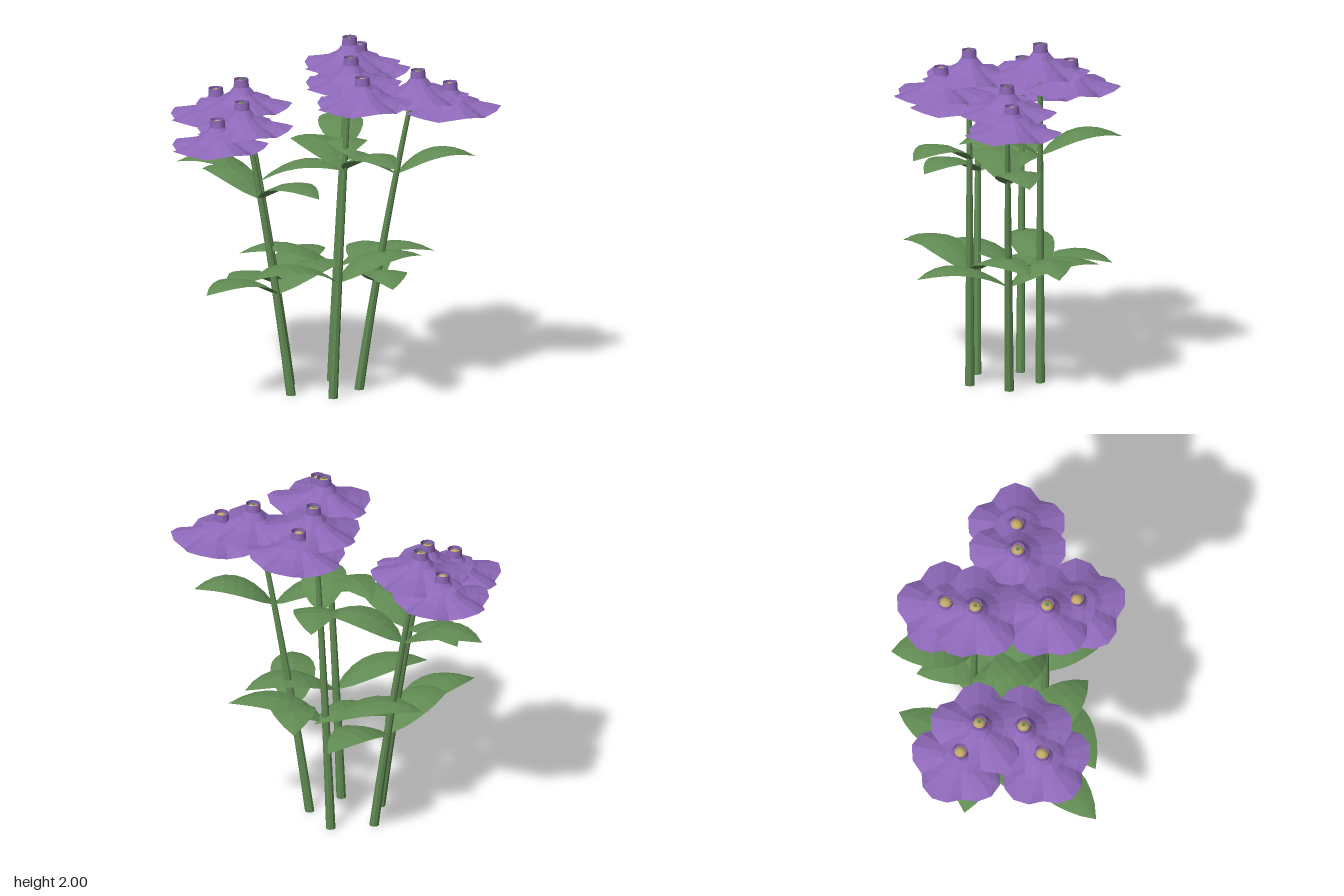
import * as THREE from 'three';

const mat = (name, color, side = THREE.FrontSide) => {
  const m = new THREE.MeshStandardMaterial({ color, side, flatShading: true });
  m.name = name;
  return m;
};

// Surface made from rows of [x, y, z] points
function surface(rows) {
  const n = rows[0].length, index = [];
  for (let i = 0; i < rows.length - 1; i++) {
    for (let j = 0; j < n - 1; j++) {
      const a = i * n + j, b = a + n;
      index.push(a, a + 1, b, a + 1, b + 1, b);
    }
  }
  const g = new THREE.BufferGeometry();
  g.setAttribute('position', new THREE.Float32BufferAttribute(rows.flat(2), 3));
  g.setIndex(index);
  g.computeVertexNormals();
  return g;
}

// Five-petalled trumpet, its rim at y = 0 and the petals flaring down and out
function blossomGeometry() {
  const profile = [[0.04, 0], [0.043, -0.045], [0.075, -0.085], [0.14, -0.122], [0.21, -0.142]];
  const edgeR = [0.285, 0.269, 0.232, 0.269], edgeY = [-0.148, -0.16, -0.182, -0.16];
  const rows = profile.map(() => []);
  rows.push([]);
  for (let j = 0; j <= 20; j++) {
    const a = -j * Math.PI / 10, k = j % 4;
    const put = (i, r, y) => rows[i].push([r * Math.cos(a), y, r * Math.sin(a)]);
    profile.forEach(([r, y], i) => {
      const f = (i / 5) ** 2;
      put(i, r * (1 + f * (edgeR[k] / 0.27 - 1)), y + f * (edgeY[k] + 0.16));
    });
    put(5, edgeR[k], edgeY[k]);
  }
  return surface(rows);
}

// Arched leaf growing along +x, one unit long, with a raised midrib
function leafGeometry() {
  const rows = [];
  for (let i = 0; i <= 8; i++) {
    const t = i / 8;
    const w = 0.25 * Math.sin(Math.PI * t ** 0.9) ** 0.8 + 0.01 * (1 - t);
    const y = 0.86 * t - 0.7 * t * t;
    rows.push([-1, -0.5, 0, 0.5, 1].map(s => [t, y - 0.16 * w * Math.abs(s) ** 1.5, s * w]));
  }
  return surface(rows);
}

export function createModel() {
  const model = new THREE.Group();
  model.name = 'flowerCluster';
  const petal = mat('petalPurple', 0x8d68b8, THREE.DoubleSide);
  const green = mat('leafGreen', 0x618b53, THREE.DoubleSide);
  const gold = mat('stamenGold', 0xc2a66a);
  const blossom = blossomGeometry(), leaf = leafGeometry();
  const stamen = new THREE.SphereGeometry(0.036, 10, 8);

  const add = (parent, name, geometry, material, x = 0, y = 0, z = 0) => {
    const m = new THREE.Mesh(geometry, material);
    m.name = name;
    m.position.set(x, y, z);
    parent.add(m);
    return m;
  };

  // Base [x, z], main and side blossom tops, leaf nodes [y, direction x, direction z, length]
  const plants = [
    { base: [-0.265, -0.125], top: [-0.54, 1.76, -0.18], side: [-0.68, 1.68, -0.29],
      nodes: [[0.58, 0.49, -0.87, 0.55], [1.17, 0.97, 0.24, 0.48]] },
    { base: [-0.265, 0.125], top: [-0.54, 1.69, 0.07], side: [-0.68, 1.615, 0.17],
      nodes: [[0.58, -0.74, 0.67, 0.54], [1.13, 0.67, 0.74, 0.48]] },
    { base: [-0.03, -0.2], top: [0.07, 2.0, -0.185], side: [0.13, 1.92, -0.35],
      nodes: [[0.66, 1, -0.04, 0.55], [1.34, -0.04, -1, 0.47]] },
    { base: [-0.03, 0.2], top: [0.07, 1.985, 0.22], side: [0.13, 1.91, 0.39],
      nodes: [[0.67, -0.87, 0.49, 0.55], [1.33, 0.62, 0.78, 0.47]] },
    { base: [0.12, 0], top: [0.45, 1.87, 0.065], side: [0.63, 1.8, 0.065],
      nodes: [[0.63, 0.15, 0.97, 0.54], [1.26, 0.98, -0.12, 0.45]] },
  ];

  plants.forEach(({ base, top, side, nodes }) => {
    const plant = new THREE.Group();
    plant.name = 'plant';
    model.add(plant);
    const height = top[1];
    const stemAt = y => {
      const t = y / height, f = t + 0.2 * t * (t - 1);
      return [base[0] + (top[0] - base[0]) * f, base[1] + (top[2] - base[1]) * f];
    };

    // Tapered stem, leaning in a slight curve
    const g = new THREE.CylinderGeometry(0.012, 0.027, height - 0.003, 8, 8);
    g.translate(0, (height - 0.003) / 2, 0);
    const p = g.attributes.position;
    for (let i = 0; i < p.count; i++) {
      const [x, z] = stemAt(p.getY(i));
      p.setX(i, p.getX(i) + x);
      p.setZ(i, p.getZ(i) + z);
    }
    g.computeVertexNormals();
    add(plant, 'stem', g, green);

    // Opposite pair of leaves at each node
    nodes.forEach(([y, dx, dz, length]) => {
      const [x, z] = stemAt(y);
      for (const s of [1, -1]) {
        const m = add(plant, 'leaf', leaf, green, x, y, z);
        m.rotation.y = Math.atan2(-s * dz, s * dx);
        m.scale.set(length, 0.54, 0.5);
      }
    });

    // Main and side blossoms
    [top, side].forEach(([x, y, z]) => {
      const flower = new THREE.Group();
      flower.name = 'blossom';
      flower.position.set(x, y, z);
      plant.add(flower);
      add(flower, 'petals', blossom, petal).rotation.z = 0.025;
      add(flower, 'stamen', stamen, gold, 0, -0.04, 0);
    });
  });
  return model;
}
